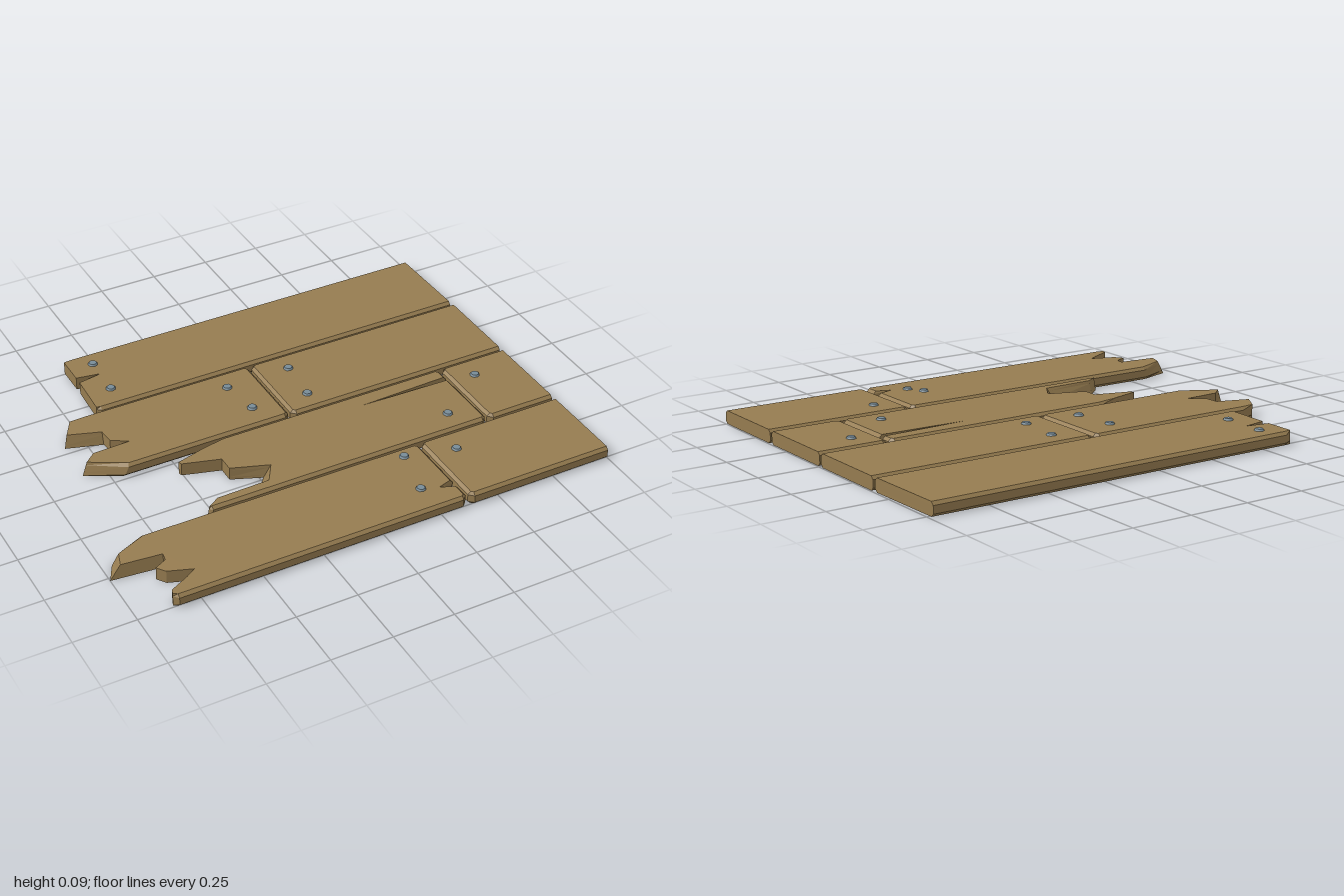
import * as THREE from 'three';

const H = 0.055, BEVEL = 0.012;

// Loft a plank through four stacked outlines. Points run counter-clockwise seen
// from above: [x, z, dx, dz], where dx/dz shift the bottom for splintered slopes.
// Long edges and butt ends (x0 / x1, when given) are bevelled by clamping.
function plankGeometry(points, z0, z1, x0 = -9, x1 = 9) {
  const layers = [0, BEVEL, H - BEVEL, H].map((y, k) => {
    const b = k === 0 || k === 3 ? BEVEL : 0;
    const t = 1 - y / H;
    return points.map(([x, z, dx = 0, dz = 0]) => new THREE.Vector3(
      THREE.MathUtils.clamp(x + dx * t, x0 + b, x1 - b), y,
      THREE.MathUtils.clamp(z + dz * t, z0 + b, z1 - b)));
  });
  const pos = [];
  const tri = (...vs) => vs.forEach((v) => pos.push(v.x, v.y, v.z));
  for (let k = 0; k < 3; k++) {
    const lo = layers[k], up = layers[k + 1];
    for (let i = 0; i < lo.length; i++) {
      const j = (i + 1) % lo.length;
      tri(lo[i], lo[j], up[j]);
      tri(lo[i], up[j], up[i]);
    }
  }
  const cap = (layer, flip) => {
    const flat = layer.map((p) => new THREE.Vector2(p.x, -p.z));
    for (const [a, b, c] of THREE.ShapeUtils.triangulateShape(flat, [])) {
      if (flip) tri(layer[a], layer[c], layer[b]);
      else tri(layer[a], layer[b], layer[c]);
    }
  };
  cap(layers[3], false);
  cap(layers[0], true);
  const geo = new THREE.BufferGeometry();
  geo.setAttribute('position', new THREE.Float32BufferAttribute(pos, 3));
  geo.computeVertexNormals();
  return geo;
}

const C = 0.02; // corner cut at butt joints
const buttLeft = (x, z0, z1) => [[x + C, z0], [x, z0 + C], [x, z1 - C], [x + C, z1]];
const buttRight = (x, z0, z1, notch = []) =>
  [[x - C, z1], [x, z1 - C], ...notch, [x, z0 + C], [x - C, z0]];
const sawn = (z0, z1) => [[0.995, z1], [0.995, z0]];

export function createModel() {
  const group = new THREE.Group();
  const wood = new THREE.MeshStandardMaterial({ color: 0x967c50 });
  wood.name = 'wood';
  const steel = new THREE.MeshStandardMaterial({ color: 0x788c98 });
  steel.name = 'steel';

  const rows = [[-0.77, -0.395], [-0.385, -0.01], [0, 0.375], [0.387, 0.762]];
  const [A, B, D, E] = rows;
  const addPlank = (name, points, [z0, z1], x0, x1) => {
    const mesh = new THREE.Mesh(plankGeometry(points, z0, z1, x0, x1), wood);
    mesh.name = name;
    group.add(mesh);
  };

  // Back row: one long plank with a split left end
  addPlank('backPlank', [
    [-0.605, A[0]], [-0.635, -0.755], [-0.635, -0.63], [-0.535, -0.613],
    [-0.635, -0.595], [-0.643, -0.41], [-0.625, A[1]],
    [0.992, A[1]], [0.985, A[0]],
  ], A);

  // Second row
  addPlank('secondBrokenPlank', [
    [-0.715, B[0]], [-0.775, -0.37], [-0.82, -0.295, -0.015, 0.01],
    [-0.69, -0.25, 0, 0.012], [-0.685, -0.185], [-0.62, -0.145],
    [-0.775, -0.14], [-0.82, -0.1, -0.022, 0.005], [-0.68, B[1], -0.025, 0],
    ...buttRight(0.015, ...B),
  ], B, -9, 0.015);
  addPlank('secondShortPlank', [...buttLeft(0.025, ...B), ...sawn(...B)], B, 0.025);

  // Third row, with a long slit from its butt end
  addPlank('thirdBrokenPlank', [
    [-0.29, D[0]], [-0.385, 0.03], [-0.51, 0.065], [-0.505, 0.08],
    [-0.355, 0.125], [-0.355, 0.19], [-0.205, 0.245, -0.03, -0.005],
    [-0.255, 0.325, -0.025, -0.03], [-0.475, 0.33, 0, -0.02],
    [-0.525, 0.362, -0.01, 0], [-0.515, D[1]],
    ...buttRight(0.69, ...D, [[0.69, 0.085], [0.3, 0.075], [0.69, 0.062]]),
  ], D, -9, 0.69);
  addPlank('thirdShortPlank', [...buttLeft(0.7, ...D), ...sawn(...D)], D, 0.7);

  // Front row, with a sloping splinter and a notched butt end
  addPlank('frontBrokenPlank', [
    [-0.815, E[0], -0.01, 0], [-0.935, 0.45, -0.025, -0.01],
    [-0.955, 0.51, -0.045, 0.005], [-0.795, 0.527, 0, 0.01], [-0.8, 0.56],
    [-0.85, 0.585], [-0.825, 0.62], [-0.73, 0.655], [-0.77, 0.68],
    [-0.85, 0.72], [-0.857, 0.74], [-0.84, E[1]],
    ...buttRight(0.36, ...E, [[0.36, 0.688], [0.29, 0.665], [0.36, 0.648]]),
  ], E, -9, 0.36);
  addPlank('frontShortPlank', [...buttLeft(0.37, ...E), ...sawn(...E)], E, 0.37);

  // Nail heads; one has worked loose and stands proud
  const headGeo = new THREE.CylinderGeometry(0.016, 0.021, 0.009, 8);
  [
    [-0.535, -0.69], [-0.54, -0.5], [-0.125, -0.285], [-0.1, -0.115, 0.002],
    [0.155, -0.29], [0.14, -0.1], [0.8, 0.105], [0.565, 0.28],
    [0.25, 0.472, 0.03], [0.225, 0.64], [0.475, 0.49],
  ].forEach(([x, z, lift = 0]) => {
    const nail = new THREE.Mesh(headGeo, steel);
    nail.name = 'nailHead';
    nail.position.set(x, H + 0.0035 + lift, z);
    group.add(nail);
  });

  return group;
}
